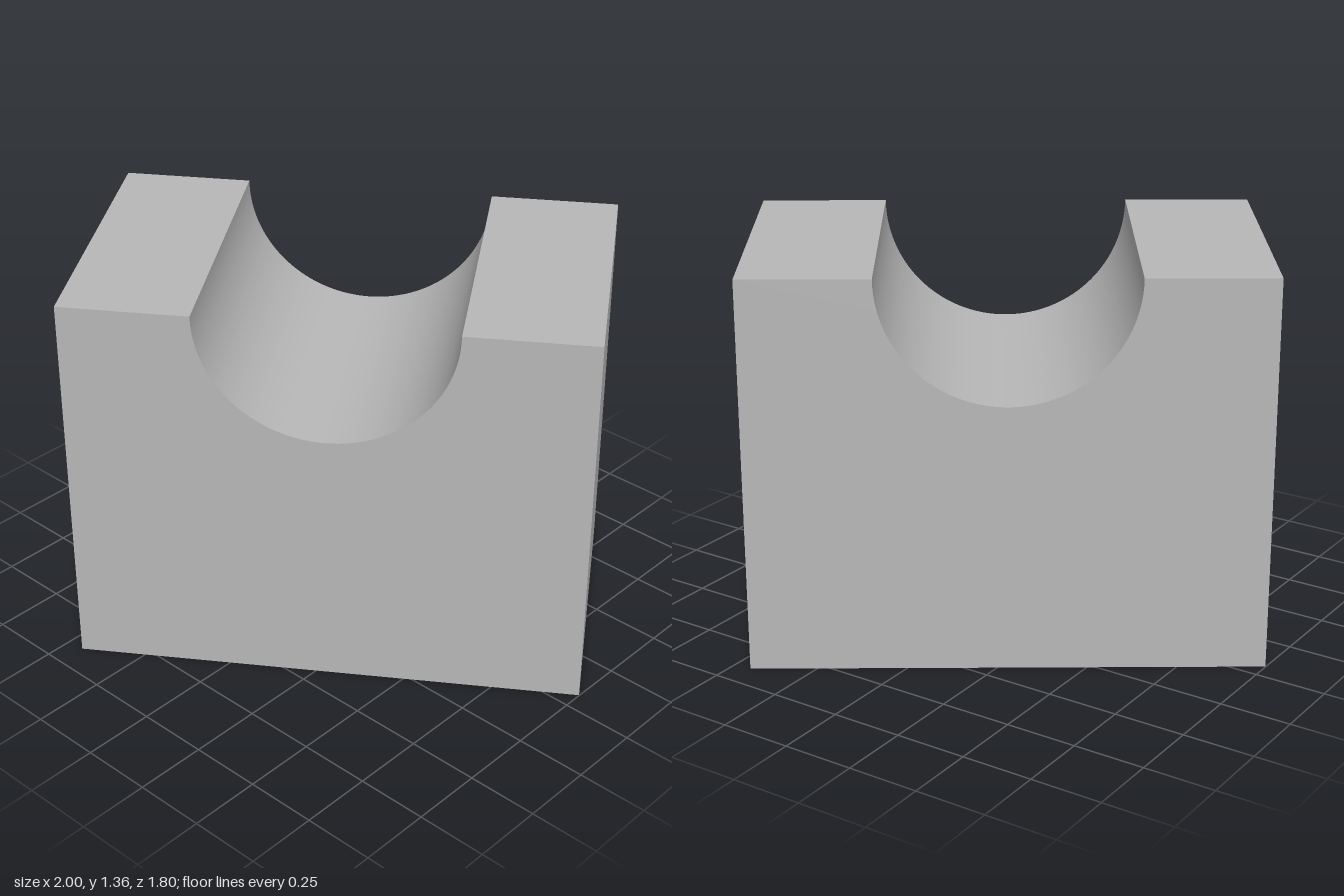
import * as THREE from 'three';
import { toCreasedNormals } from 'three/addons/utils/BufferGeometryUtils.js';

export function createModel() {
  const length = 1.733, depth = 1.003, height = 1.36, radius = 0.429;
  const grey = new THREE.MeshStandardMaterial({ color: 0xb8b8b8 });
  grey.name = 'plain grey';

  // block profile with a half-round groove in its top edge
  const profile = new THREE.Shape();
  profile.moveTo(-length / 2, 0);
  profile.lineTo(length / 2, 0);
  profile.lineTo(length / 2, height);
  profile.lineTo(radius, height);
  profile.absarc(0, height, radius, 0, -Math.PI, true);
  profile.lineTo(-length / 2, height);
  profile.closePath();

  const geometry = new THREE.ExtrudeGeometry(profile, { depth, bevelEnabled: false, curveSegments: 64 });
  geometry.translate(0, 0, -depth / 2);

  // smooth groove, sharp outer edges
  const block = new THREE.Mesh(toCreasedNormals(geometry, 0.5), grey);
  block.name = 'groovedBlock';
  block.rotation.y = THREE.MathUtils.degToRad(34.06);

  const model = new THREE.Group();
  model.name = 'saddleBlock';
  model.add(block);
  return model;
}
